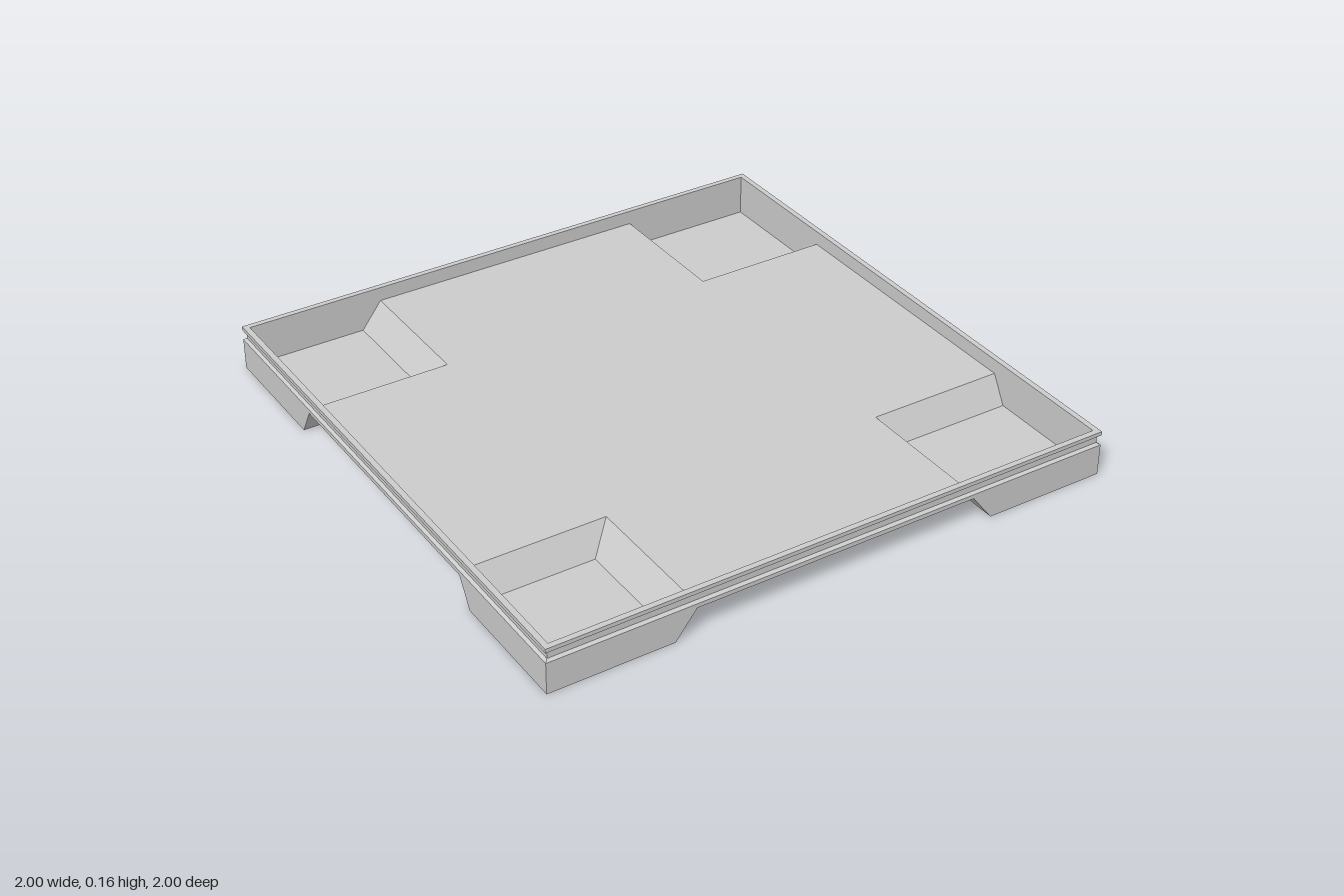
import * as THREE from 'three';

const FOOT_X = 0.573, FOOT_Z = 0.555, INNER = 0.5; // foot base and top edges
const DECK = 0.095, SKIN = 0.015, WALL = 0.98, LEDGE = DECK + SKIN, TOP = 0.16;

const material = new THREE.MeshStandardMaterial({ color: 0xcccccc, flatShading: true });

function part(name, geometry) {
  const mesh = new THREE.Mesh(geometry, material);
  mesh.name = name;
  return mesh;
}

// Flat deck that drops into a sloped-sided well at each corner
function deckSheet(half, lift, faceUp) {
  const lines = (foot) => [-half, -foot, -INNER, INNER, foot, half];
  const xs = lines(FOOT_X), zs = lines(FOOT_Z);
  const point = (x, z) => {
    const inFoot = Math.abs(x) >= FOOT_X && Math.abs(z) >= FOOT_Z;
    return [x, (inFoot ? 0 : DECK) + lift, z];
  };
  const positions = [];
  const triangle = (a, b, c) => positions.push(...(faceUp ? [...a, ...b, ...c] : [...c, ...b, ...a]));
  for (let i = 0; i < 5; i++) {
    for (let j = 0; j < 5; j++) {
      const a = point(xs[i], zs[j]), b = point(xs[i + 1], zs[j]);
      const c = point(xs[i + 1], zs[j + 1]), d = point(xs[i], zs[j + 1]);
      // the split runs outward so the slopes meet in a mitre
      if ((i - 2) * (j - 2) >= 0) {
        triangle(a, d, c);
        triangle(a, c, b);
      } else {
        triangle(a, d, b);
        triangle(d, c, b);
      }
    }
  }
  const geometry = new THREE.BufferGeometry();
  geometry.setAttribute('position', new THREE.Float32BufferAttribute(positions, 3));
  geometry.computeVertexNormals();
  return geometry;
}

function outline(points) {
  return new THREE.Shape(points.map(([x, y]) => new THREE.Vector2(x, y)));
}

export function createModel() {
  const group = new THREE.Group();
  group.name = 'trayPallet';

  group.add(part('deckTop', deckSheet(WALL, SKIN, true)));
  group.add(part('deckUnderside', deckSheet(1, 0, false)));

  // Square rim with a shallow groove around the outside
  const profile = [
    [1, LEDGE], [0.99, 0.117], [0.99, 0.139], [1, 0.146],
    [1, TOP], [WALL, TOP], [WALL, LEDGE],
  ].map(([r, y]) => new THREE.Vector2(r * Math.SQRT2, y));
  const rim = new THREE.LatheGeometry(profile, 4, Math.PI / 4).toNonIndexed();
  rim.computeVertexNormals();
  group.add(part('groovedRim', rim));

  // Outer skirt and inner well walls, one set per side
  for (let i = 0; i < 4; i++) {
    const foot = i % 2 ? FOOT_Z : FOOT_X;
    const side = new THREE.Group();
    side.name = 'sideWall' + (i + 1);
    side.rotation.y = i * Math.PI / 2;

    const skirt = part('outerSkirt', new THREE.ShapeGeometry(outline([
      [-1, 0], [-foot, 0], [-INNER, DECK], [INNER, DECK],
      [foot, 0], [1, 0], [1, LEDGE], [-1, LEDGE],
    ])));
    skirt.position.z = 1;
    side.add(skirt);

    for (const s of [-1, 1]) {
      const well = part('wellWall', new THREE.ShapeGeometry(outline([
        [s * INNER, LEDGE], [s * foot, SKIN], [s * WALL, SKIN], [s * WALL, LEDGE],
      ])));
      well.position.z = -WALL;
      side.add(well);
    }
    group.add(side);
  }
  return group;
}
